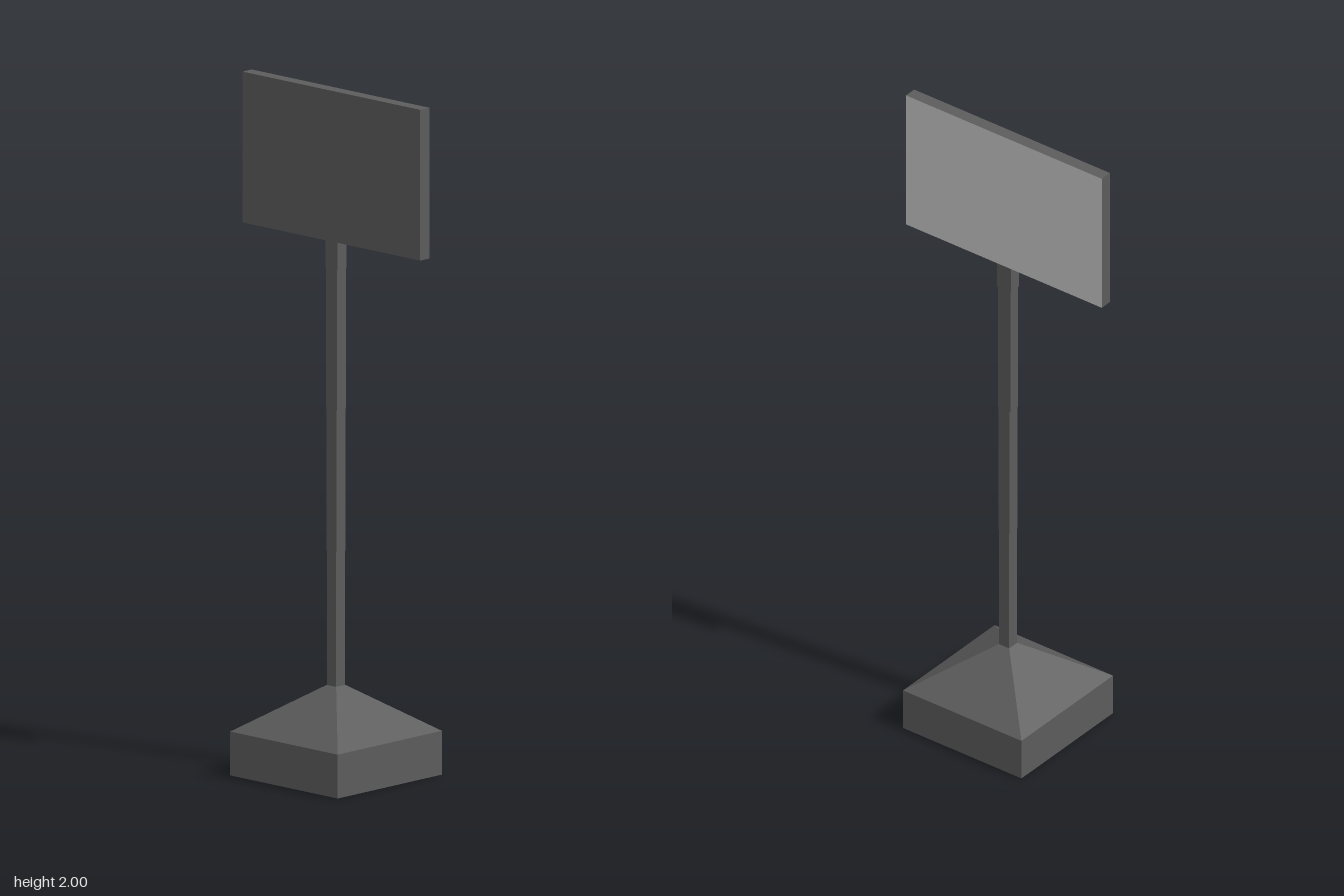
import * as THREE from 'three';

const dark = new THREE.MeshStandardMaterial({ color: 0x5c5c5c, flatShading: true });
const light = new THREE.MeshStandardMaterial({ color: 0xcccccc, flatShading: true });

// Box with half extents in x and z, spanning y0 to y1
function box(name, hx, hz, y0, y1, material = dark) {
  const mesh = new THREE.Mesh(new THREE.BoxGeometry(hx * 2, y1 - y0, hz * 2), material);
  mesh.position.y = (y0 + y1) / 2;
  mesh.name = name;
  return mesh;
}

export function createModel() {
  const model = new THREE.Group();
  model.name = 'signStand';

  // Square plinth with a sloped, truncated pyramid on top
  const base = new THREE.Group();
  base.name = 'base';
  base.add(box('plinth', 0.213, 0.213, 0, 0.128));
  const slope = new THREE.CylinderGeometry(0.019 * Math.SQRT2, 0.213 * Math.SQRT2, 0.135, 4, 1);
  slope.rotateY(Math.PI / 4);
  const cap = new THREE.Mesh(slope, dark);
  cap.name = 'baseSlope';
  cap.position.y = 0.128 + 0.135 / 2;
  base.add(cap);
  model.add(base);

  // Post whose depth steps up in sections: half depth, bottom, top
  const post = new THREE.Group();
  post.name = 'post';
  const sections = [
    [0.0175, 0.25, 0.655],
    [0.02, 0.655, 1.07],
    [0.0225, 1.07, 1.48],
    [0.0245, 1.48, 1.562],
  ];
  sections.forEach(([hz, y0, y1], i) => post.add(box(`postSection${i + 1}`, 0.0185, hz, y0, y1)));
  model.add(post);

  // Sign board: dark all round with a light face on +x
  const faces = [light, dark, dark, dark, dark, dark];
  model.add(box('signBoard', 0.019, 0.352, 1.56, 2, faces));

  return model;
}
